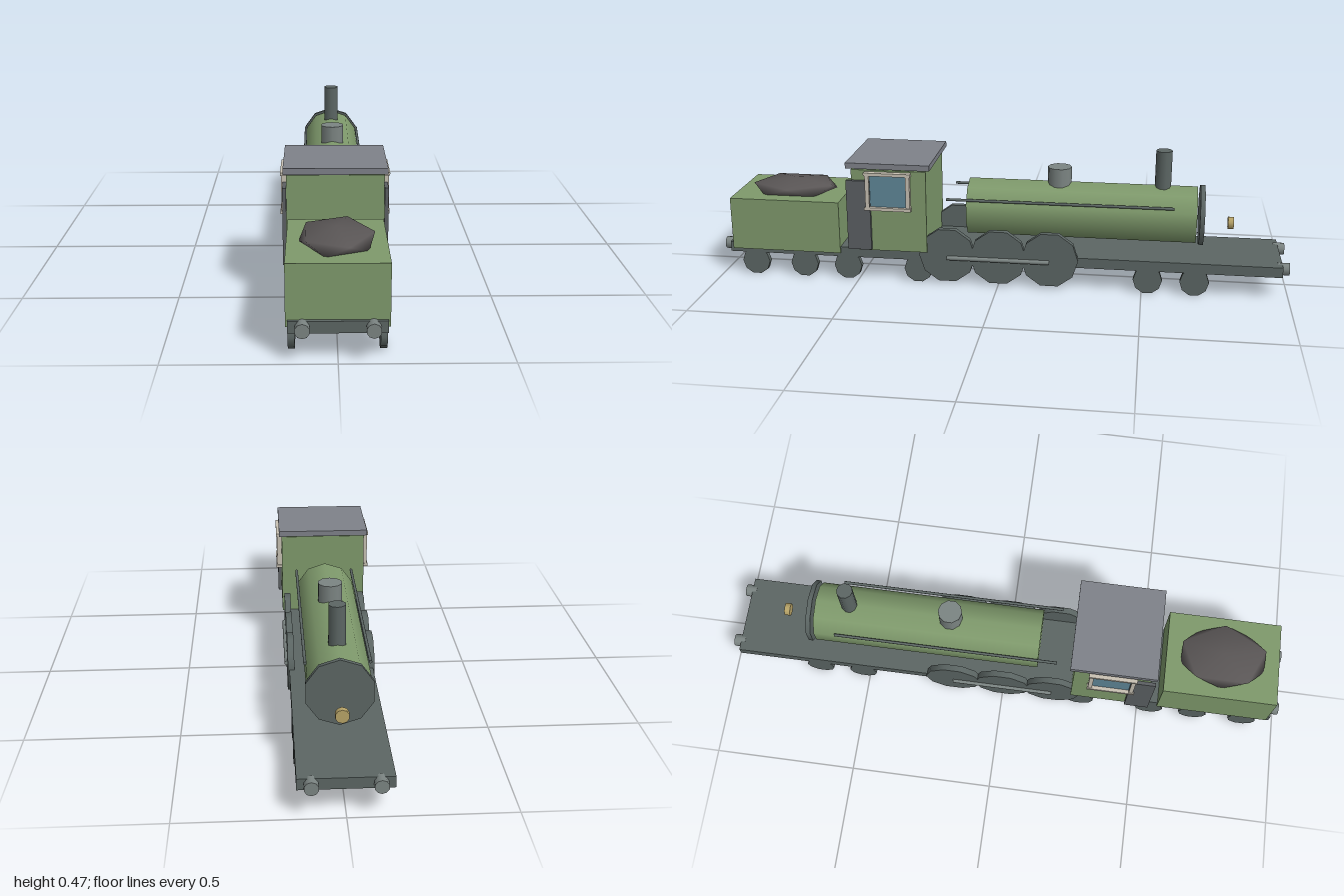
import * as THREE from 'three';
import { mergeVertices } from 'three/addons/utils/BufferGeometryUtils.js';

const mat = (color) => new THREE.MeshStandardMaterial({ color });

export function createModel() {
  const model = new THREE.Group();
  const green = mat(0x7f9a6c), iron = mat(0x5c6664), door = mat(0x5c6063), roofGrey = mat(0x7f828a);
  const coalBlack = mat(0x5a5656), cream = mat(0xc9c2b4), glass = mat(0x5f8798), steel = mat(0x7c8583), brass = mat(0xb8a468);

  const add = (name, geometry, material, x, y, z) => {
    const mesh = new THREE.Mesh(geometry, material);
    mesh.name = name;
    mesh.position.set(x, y, z);
    model.add(mesh);
    return mesh;
  };
  // Box given by its lower and upper limits on each axis
  const box = (name, material, [x0, x1], [y0, y1], [z0, z1]) =>
    add(name, new THREE.BoxGeometry(Math.abs(x1 - x0), y1 - y0, z1 - z0), material,
      (x0 + x1) / 2, (y0 + y1) / 2, (z0 + z1) / 2);
  // Ten-sided cylinder lying along the chosen axis
  const cyl = (name, material, axis, r, length, x, y, z) => {
    const g = new THREE.CylinderGeometry(r, r, length, 10);
    if (axis === 'x') g.rotateZ(Math.PI / 2);
    if (axis === 'z') g.rotateX(Math.PI / 2);
    return add(name, g, material, x, y, z);
  };

  // Frame and tender
  box('chassis', iron, [-0.142, 0.142], [0.081, 0.117], [-0.975, 0.972]);
  box('tender', green, [-0.148, 0.148], [0.095, 0.283], [0.565, 0.96]);

  // Coal heap: a flattened, smooth icosahedron standing on its tip
  let heap = new THREE.IcosahedronGeometry(1, 0);
  heap.deleteAttribute('normal');
  heap.deleteAttribute('uv');
  heap = mergeVertices(heap);
  heap.rotateZ(-Math.atan(2 / (1 + Math.sqrt(5))));
  heap.scale(0.125, 0.0325, 0.171);
  heap.computeVertexNormals();
  add('coalHeap', heap, coalBlack, 0, 0.2945, 0.762);

  // Cab
  box('cab', green, [-0.153, 0.153], [0.115, 0.409], [0.25, 0.513]);
  box('cabRoof', roofGrey, [-0.163, 0.163], [0.415, 0.435], [0.235, 0.53]);

  // Boiler and its fittings
  cyl('boiler', green, 'z', 0.103, 0.8, 0, 0.247, -0.28);
  cyl('smokeboxDoor', iron, 'z', 0.109, 0.016, 0, 0.247, -0.698);
  cyl('chimney', iron, 'y', 0.028, 0.14, 0, 0.405, -0.56);
  cyl('steamDome', steel, 'y', 0.042, 0.08, 0, 0.363, -0.2);
  cyl('headlamp', brass, 'z', 0.022, 0.02, 0, 0.222, -0.8);

  // Parts mirrored on both sides
  for (const s of [1, -1]) {
    const across = (a, b) => [s * a, s * b];
    box('cabDoor', door, across(0.153, 0.165), [0.12, 0.372], [0.446, 0.53]);

    // Window
    box('windowPane', glass, across(0.15, 0.16), [0.275, 0.397], [0.31, 0.456]);
    for (const y of [0.268, 0.393])
      box('windowRail', cream, across(0.15, 0.173), [y, y + 0.011], [0.301, 0.465]);
    for (const z of [0.304, 0.447])
      box('windowPost', cream, across(0.15, 0.17), [0.272, 0.4], [z, z + 0.014]);

    cyl('handrail', iron, 'z', 0.005, 0.79, s * 0.101, 0.297, -0.207);

    // Running gear
    for (const z of [0.18, 0, -0.18])
      cyl('drivingWheel', iron, 'x', 0.1, 0.022, s * 0.136, 0.105, z);
    for (const z of [0.88, 0.7, 0.54, 0.285, -0.52, -0.68])
      cyl('smallWheel', iron, 'x', 0.05, 0.02, s * 0.132, 0.048, z);
    cyl('couplingRod', steel, 'z', 0.008, 0.36, s * 0.149, 0.097, 0);

    for (const end of [1, -1])
      cyl('buffer', steel, 'z', 0.022, 0.04, s * 0.1, 0.098, end * 0.98);
  }
  return model;
}
